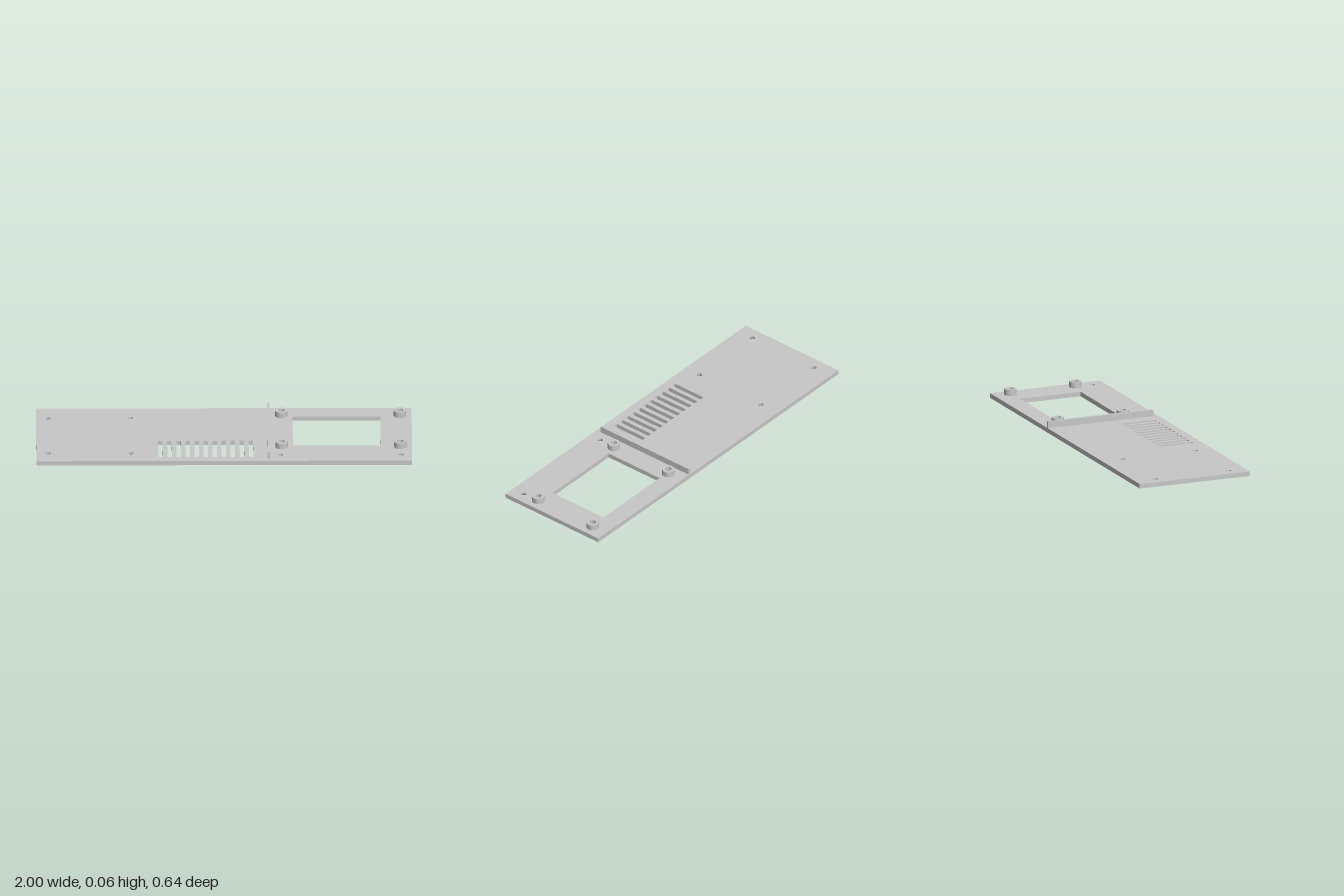
import * as THREE from 'three';
import { toCreasedNormals } from 'three/addons/utils/BufferGeometryUtils.js';

const T = 0.025; // plate thickness

export function createModel() {
  const group = new THREE.Group();
  const grey = new THREE.MeshStandardMaterial({ color: 0xc8c8c8 });
  grey.name = 'plain grey';

  const add = (name, geometry, x = 0, y = 0, z = 0) => {
    const mesh = new THREE.Mesh(geometry, grey);
    mesh.name = name;
    mesh.position.set(x, y, z);
    group.add(mesh);
  };
  const lathe = (points) => toCreasedNormals(
    new THREE.LatheGeometry(points.map(([r, y]) => new THREE.Vector2(r, y)), 32), 0.6);

  // Counter-clockwise rectangle from x and z limits, drawn with shape y = -z
  const rect = (path, x0, x1, z0, z1) => {
    path.moveTo(x0, -z1);
    path.lineTo(x1, -z1);
    path.lineTo(x1, -z0);
    path.lineTo(x0, -z0);
    path.closePath();
    return path;
  };

  // Base plate with window, vent slots and screw holes
  const plate = rect(new THREE.Shape(), -1, 1, -0.32, 0.32);
  plate.holes.push(rect(new THREE.Path(), 0.366, 0.834, -0.218, 0.134));
  for (let i = 0; i < 11; i++) {
    const x = -0.339 + i * 0.0482;
    plate.holes.push(rect(new THREE.Path(), x - 0.012, x + 0.012, 0.075, 0.272));
  }
  const screwHoles = [
    [-0.937, -0.203], [-0.497, -0.203], [-0.937, 0.223],
    [-0.497, 0.223], [0.299, 0.247], [0.939, 0.247],
  ];
  const wide = 0.026, narrow = 0.0145;
  for (const [x, z] of screwHoles) {
    plate.holes.push(new THREE.Path().absarc(x, -z, wide, 0, Math.PI * 2));
  }
  const plateGeometry = new THREE.ExtrudeGeometry(plate, {
    depth: T, bevelEnabled: false, curveSegments: 16,
  });
  plateGeometry.rotateX(-Math.PI / 2);
  add('basePlate', plateGeometry);

  // Countersinks, opening wider on the underside
  const sink = lathe([[wide, T], [narrow, T], [narrow, 0.012], [wide, 0]]);
  for (const [x, z] of screwHoles) add('countersink', sink, x, 0, z);

  // Hollow standoffs around the window
  const standoff = lathe([[0.033, 0], [0.033, 0.032], [0.017, 0.032], [0.017, 0.001], [0, 0.001]]);
  for (const x of [0.306, 0.937]) {
    for (const z of [-0.229, 0.148]) add('standoff', standoff, x, T, z);
  }

  // Upright divider rib
  add('dividerRib', new THREE.BoxGeometry(0.013, 0.035, 0.61), 0.236, T + 0.0175, -0.012);

  return group;
}
